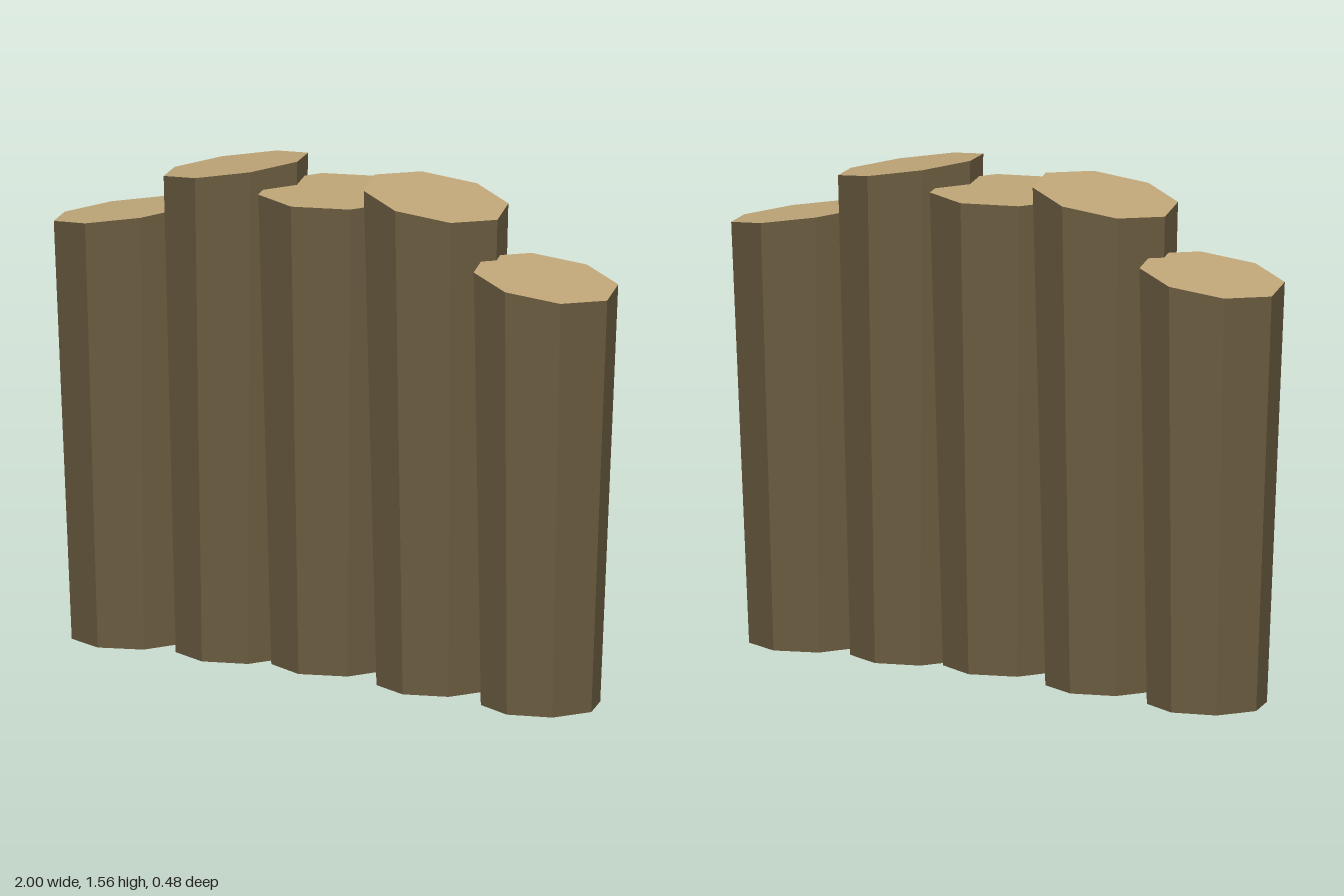
import * as THREE from 'three';

export function createModel() {
  const model = new THREE.Group();
  model.name = 'logPalisade';

  const bark = new THREE.MeshStandardMaterial({ color: 0x6b5c40, flatShading: true, side: THREE.DoubleSide });
  bark.name = 'bark';
  const cutWood = new THREE.MeshStandardMaterial({ color: 0xbfa678, flatShading: true, side: THREE.DoubleSide });
  cutWood.name = 'cutWood';

  // Places a unit octagon's corners at the log's sloping top or flat foot
  function place(geometry, log) {
    const p = geometry.attributes.position;
    for (let i = 0; i < p.count; i++) {
      const end = p.getY(i) > 0.5 ? log.top : log.foot;
      const dx = p.getX(i) * end.rx;
      p.setXYZ(i, end.x + dx, end.y + dx * end.slope, p.getZ(i) * end.rz);
    }
    geometry.computeVertexNormals();
    return geometry;
  }

  // Tapered eight-sided log, open underneath, with a pale cut top
  function addLog(name, log) {
    const group = new THREE.Group();
    group.name = name;
    const side = new THREE.CylinderGeometry(1, 1, 1, 8, 1, true).translate(0, 0.5, 0);
    const cap = new THREE.CircleGeometry(1, 8).rotateX(-Math.PI / 2).translate(0, 1, 0);
    const trunk = new THREE.Mesh(place(side, log), bark);
    trunk.name = 'trunk';
    const cut = new THREE.Mesh(place(cap, log), cutWood);
    cut.name = 'cutTop';
    group.add(trunk, cut);
    model.add(group);
  }

  addLog('centreLog', {
    top: { x: 0, y: 1.492, rx: 0.239, rz: 0.239, slope: 0 },
    foot: { x: 0, y: 0.028, rx: 0.199, rz: 0.199, slope: 0 },
  });

  // Mirrored pairs: tops slope down and away from the centre
  for (const s of [-1, 1]) {
    const label = s > 0 ? 'left' : 'right';
    addLog(label + 'InnerLog', {
      top: { x: s * 0.369, y: 1.525, rx: 0.226, rz: 0.217, slope: -s * 0.174 },
      foot: { x: s * 0.37, y: 0.012, rx: 0.188, rz: 0.179, slope: 0 },
    });
    addLog(label + 'OuterLog', {
      top: { x: s * 0.774, y: 1.328, rx: 0.226, rz: 0.217, slope: -s * 0.168 },
      foot: { x: s * 0.754, y: 0.002, rx: 0.187, rz: 0.179, slope: -s * 0.01 },
    });
  }

  return model;
}
